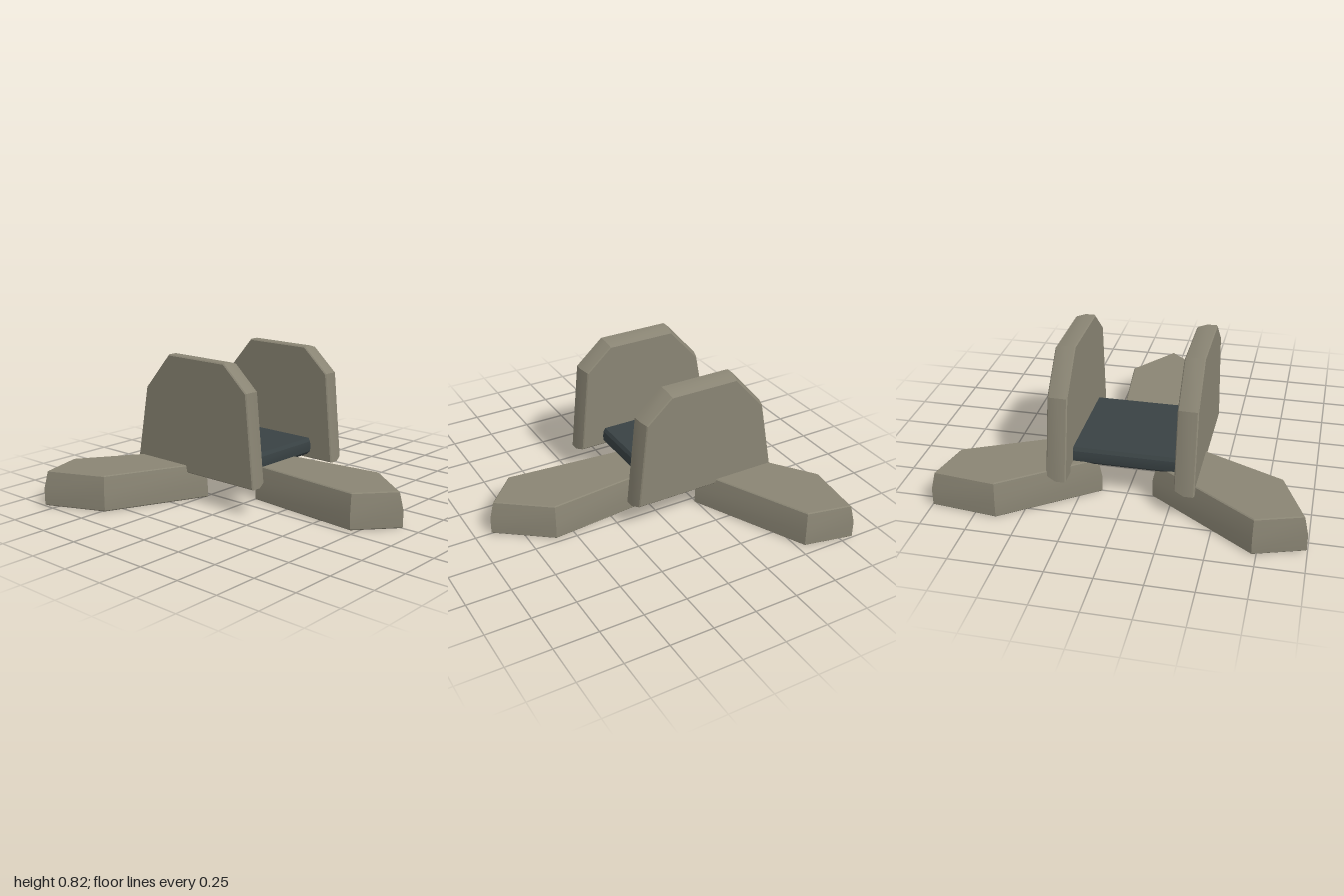
import * as THREE from 'three';
import { toCreasedNormals } from 'three/addons/utils/BufferGeometryUtils.js';

// Move a convex outline inwards by d, keeping its edges parallel.
function inset(outline, d) {
  const n = outline.length;
  const normal = (i) => {
    const [ax, az] = outline[(i + n) % n], [bx, bz] = outline[(i + 1) % n];
    const l = Math.hypot(bx - ax, bz - az);
    return [-(bz - az) / l, (bx - ax) / l];
  };
  return outline.map(([x, z], i) => {
    const p = normal(i - 1), q = normal(i);
    const k = d / (1 + p[0] * q[0] + p[1] * q[1]);
    return [x + (p[0] + q[0]) * k, z + (p[1] + q[1]) * k];
  });
}

// Slab standing on y = 0 from an (x, z) outline; rings are [height, inset] pairs.
function slab(outline, rings) {
  const n = outline.length, pos = [], index = [];
  for (const [y, d] of rings) for (const [x, z] of inset(outline, d)) pos.push(x, y, z);
  for (let r = 0; r < rings.length - 1; r++) {
    for (let i = 0; i < n; i++) {
      const a = r * n + i, b = r * n + (i + 1) % n;
      index.push(a, a + n, b, b, a + n, b + n);
    }
  }
  const top = (rings.length - 1) * n;
  for (let i = 1; i < n - 1; i++) index.push(0, i, i + 1, top, top + i + 1, top + i);
  const geo = new THREE.BufferGeometry();
  geo.setAttribute('position', new THREE.Float32BufferAttribute(pos, 3));
  geo.setIndex(index);
  return toCreasedNormals(geo, 0.4);
}

// Straight lower half, tapered upper half, softened rims.
const stoneRings = (h) => [[0, 0.006], [0.006, 0], [h * 0.5, 0], [h - 0.005, 0.016], [h, 0.022]];

export function createModel() {
  const model = new THREE.Group();
  const stone = new THREE.MeshStandardMaterial({ color: 0x8a8574 });
  const dark = new THREE.MeshStandardMaterial({ color: 0x394244 });
  const centreX = -0.245;

  const add = (name, geometry, material) => {
    const mesh = new THREE.Mesh(geometry, material);
    mesh.name = name;
    model.add(mesh);
    return mesh;
  };

  // Three pointed feet spread around the centre
  const foot = slab([[0.25, -0.158], [0.855, -0.22], [1.15, 0], [0.96, 0.21], [0.25, 0.152]], stoneRings(0.2));
  ['leftFoot', 'backFoot', 'frontFoot'].forEach((name, i) => {
    const mesh = add(name, foot, stone);
    mesh.position.x = centreX;
    mesh.rotation.y = i * Math.PI * 2 / 3;
  });

  // Two upright side plates, both tapering towards the back
  const plate = slab(
    [[-0.7, 0.157], [0.207, 0.157], [0.16, 0.68], [0, 0.823], [-0.42, 0.823], [-0.61, 0.61]],
    stoneRings(0.112)
  ).rotateX(-Math.PI / 2);
  add('frontPlate', plate, stone).position.z = 0.4;
  add('backPlate', plate, stone).position.z = -0.288;

  // Dark slab bridging the plates
  const seat = slab(
    [[-0.3, -0.32], [0.3, -0.32], [0.3, 0.32], [-0.3, 0.32]],
    [[0, 0.025], [0.02, 0.004], [0.05, 0], [0.08, 0.004], [0.1, 0.016]]
  );
  add('seat', seat, dark).position.set(-0.247, 0.18, 0);

  return model;
}
